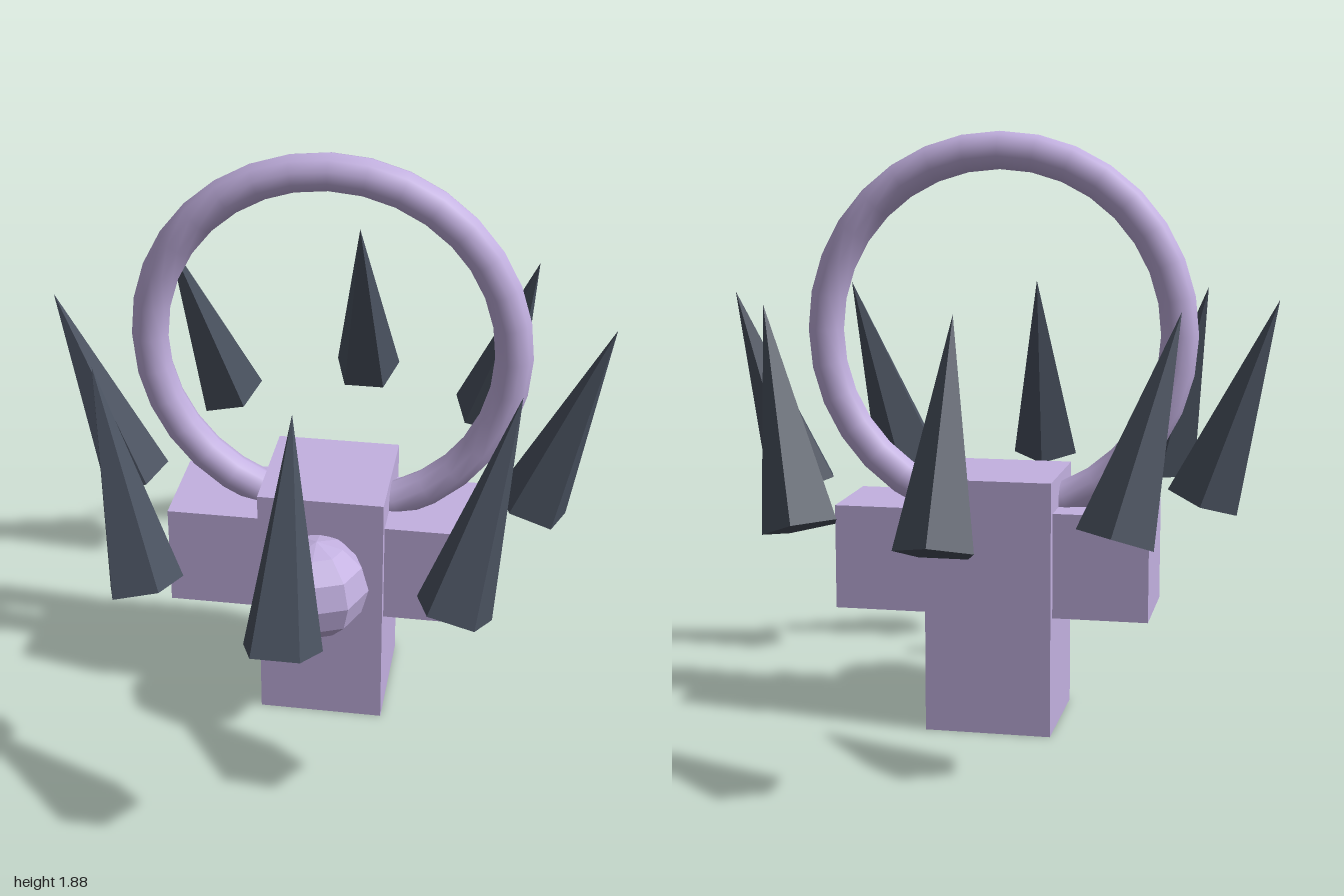
import * as THREE from 'three';

export function createModel() {
  const group = new THREE.Group();
  const lilac = new THREE.MeshStandardMaterial({ color: 0xc3b1e1, name: 'lilac' });
  const lilacFaceted = lilac.clone();
  lilacFaceted.flatShading = true;
  const slate = new THREE.MeshStandardMaterial({ color: 0x4a5260, name: 'slate', flatShading: true });
  const zMid = 0.01;

  const add = (name, geometry, material, x, y, z) => {
    const mesh = new THREE.Mesh(geometry, material);
    mesh.name = name;
    mesh.position.set(x, y, z);
    group.add(mesh);
    return mesh;
  };

  // Blocky body with a cube on each side
  add('body', new THREE.BoxGeometry(0.4, 0.81, 0.4), lilac, 0, 0.405, zMid);
  for (const side of [-1, 1]) {
    add(side > 0 ? 'leftArm' : 'rightArm', new THREE.BoxGeometry(0.33, 0.333, 0.33), lilac, side * 0.335, 0.542, zMid);
  }

  // Faceted ball on the front
  add('frontBall', new THREE.SphereGeometry(0.165, 8, 6), lilacFaceted, 0, 0.542, 0.28);

  // Upright ring rising from the body
  add('ring', new THREE.TorusGeometry(0.57, 0.059, 10, 32), lilac, 0, 1.252, zMid);

  // Floating five-sided spikes: tips lean outward in x and inward in z
  const spike = new THREE.ConeGeometry(0.12, 0.671, 5).rotateY(Math.PI);
  const tilt = 0.34;
  for (let i = 0; i < 8; i++) {
    const a = (i * Math.PI) / 4;
    const c = Math.cos(a), s = Math.sin(a);
    const mesh = add('spike' + (i + 1), spike, slate, c * 0.762, 1.053, zMid + s * 0.784);
    mesh.rotation.set(-s * tilt, 0, -c * tilt);
  }
  return group;
}
